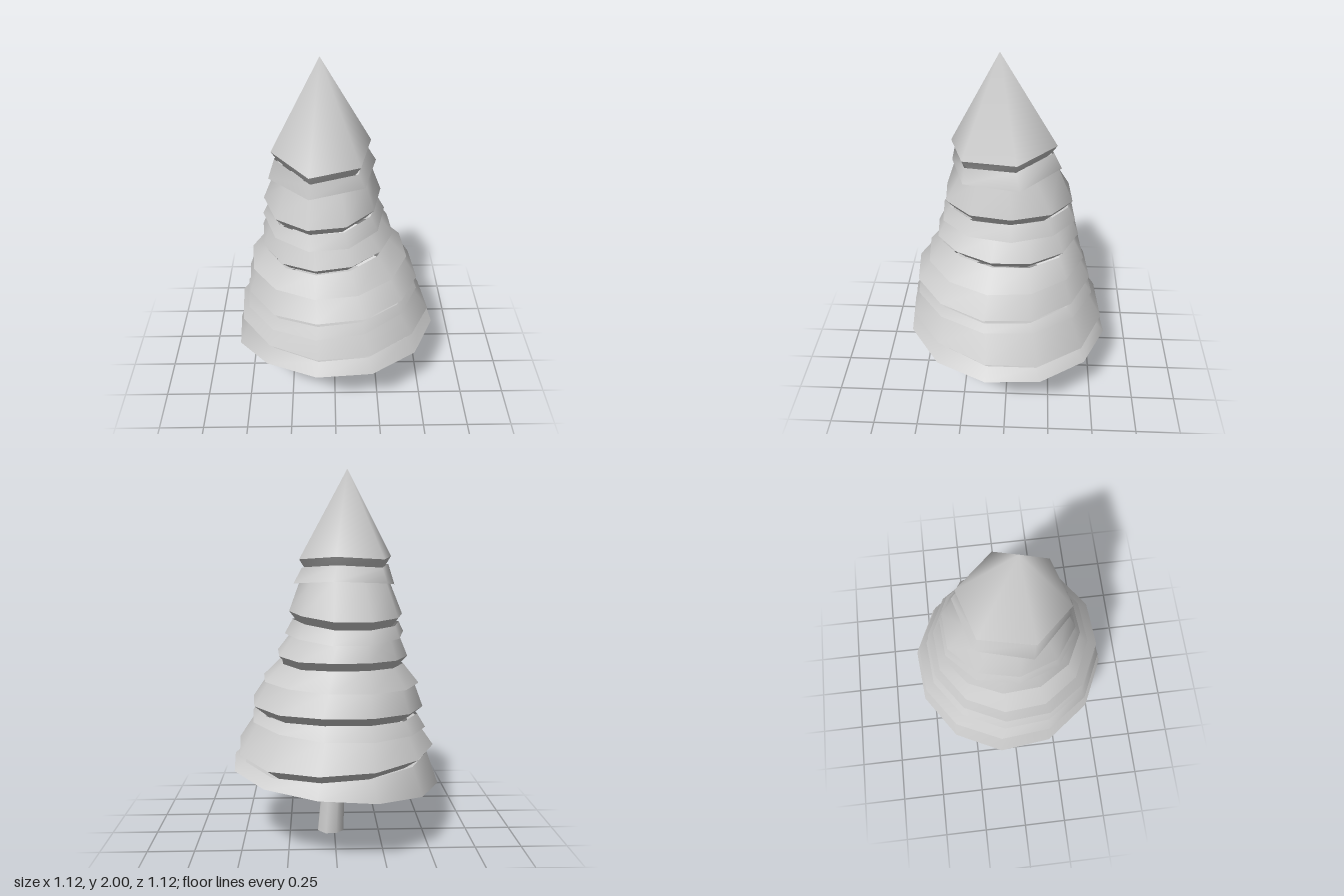
import * as THREE from 'three';
import { mergeVertices } from 'three/addons/utils/BufferGeometryUtils.js';

const material = new THREE.MeshStandardMaterial({ color: 0xcccccc, side: THREE.DoubleSide });
const APEX = new THREE.Vector3(-0.07, 2, 0.04);
const BASE = new THREE.Vector3(0, 0.42, 0.02);

// One row per layer of branches, lowest first: sides, phase (deg), x extent, z extent,
// then rim heights at eight directions, turning from +x through +z
const LAYERS = [
  [12, 10, -0.565, 0.56, -0.56, 0.56, [0.43, 0.44, 0.46, 0.435, 0.305, 0.335, 0.385, 0.41]],
  [12, 10, -0.535, 0.53, -0.535, 0.54, [0.52, 0.57, 0.56, 0.555, 0.53, 0.52, 0.505, 0.49]],
  [12, 10, -0.495, 0.455, -0.475, 0.51, [0.68, 0.7, 0.68, 0.645, 0.615, 0.64, 0.65, 0.67]],
  [12, 10, -0.48, 0.45, -0.455, 0.505, [0.76, 0.79, 0.785, 0.745, 0.73, 0.75, 0.77, 0.76]],
  [12, 10, -0.455, 0.39, -0.415, 0.44, [0.89, 0.895, 0.885, 0.875, 0.865, 0.87, 0.88, 0.89]],
  [12, 10, -0.39, 0.31, -0.38, 0.385, [1.03, 1.045, 1.025, 1.005, 1.015, 1.02, 1.03, 1.02]],
  [10, -4, -0.378, 0.267, -0.36, 0.355, [1.135, 1.13, 1.12, 1.12, 1.14, 1.12, 1.105, 1.13]],
  [10, -4, -0.37, 0.243, -0.34, 0.335, [1.255, 1.245, 1.235, 1.225, 1.235, 1.23, 1.22, 1.245]],
  [6, -16, -0.335, 0.217, -0.275, 0.3, [1.4, 1.4, 1.385, 1.385, 1.39, 1.41, 1.43, 1.41]],
  [6, -16, -0.315, 0.187, -0.25, 0.3, [1.525, 1.515, 1.5, 1.51, 1.56, 1.53, 1.55, 1.535]],
];

// Linear interpolation round a closed list of heights
function heightAt(heights, angle) {
  const u = (angle / (Math.PI * 2)) * 8 + 8, i = Math.floor(u);
  return THREE.MathUtils.lerp(heights[i % 8], heights[(i + 1) % 8], u - i);
}

// Rim polygon fitted to its extents, with a height that varies round the tree
function makeLayer([n, deg, x0, x1, z0, z1, heights], index) {
  const phase = THREE.MathUtils.degToRad(deg);
  const angles = Array.from({ length: n }, (_, i) => phase + (i / n) * Math.PI * 2);
  const cs = angles.map(Math.cos), sn = angles.map(Math.sin);
  const fit = (v, all, lo, hi) =>
    THREE.MathUtils.mapLinear(v, Math.min(...all), Math.max(...all), lo, hi);
  const rim = angles.map((a, i) => new THREE.Vector3(
    fit(cs[i], cs, x0, x1), heightAt(heights, a), fit(sn[i], sn, z0, z1)));
  const cx = (x0 + x1) / 2, cz = (z0 + z1) / 2;
  const inset = (k, drop) => rim.map((p) =>
    new THREE.Vector3(cx + (p.x - cx) * k, p.y - drop, cz + (p.z - cz) * k));
  // Every second layer has a visible sloping underside, the others a flat lip
  const drop = index % 2 ? 0.042 : -0.004;
  return { n, phase, angles, rim, fold: inset(0.94, drop), under: inset(0.85, drop * 1.4) };
}

// Point of a layer's fold at a given angle
function sampleFold(layer, angle) {
  const u = ((angle - layer.phase) / (Math.PI * 2)) * layer.n + layer.n * 2;
  const i = Math.floor(u + 1e-6);
  return layer.fold[i % layer.n].clone().lerp(layer.fold[(i + 1) % layer.n], u - i);
}

// Smooth band between two rings with equal point counts
function strip(name, lower, upper) {
  const n = lower.length, index = [];
  for (let i = 0; i < n; i++) {
    const j = (i + 1) % n;
    index.push(i, n + i, j, j, n + i, n + j);
  }
  let geometry = new THREE.BufferGeometry().setFromPoints([...lower, ...upper]);
  geometry.setIndex(index);
  geometry = mergeVertices(geometry);
  geometry.computeVertexNormals();
  const mesh = new THREE.Mesh(geometry, material);
  mesh.name = name;
  return mesh;
}

export function createModel() {
  const tree = new THREE.Group();
  tree.name = 'pineTree';

  // Slightly leaning, open trunk
  const bottom = [], top = [];
  for (let i = 0; i < 8; i++) {
    const a = ((i + 0.5) / 8) * Math.PI * 2;
    bottom.push(new THREE.Vector3(0.02 + 0.078 * Math.cos(a), 0, 0.025 + 0.079 * Math.sin(a)));
    top.push(new THREE.Vector3(-0.005 + 0.06 * Math.cos(a), 0.46, 0.04 + 0.063 * Math.sin(a)));
  }
  tree.add(strip('trunk', bottom, top));

  // Overlapping branch layers, the last one closing to the tip
  const layers = LAYERS.map(makeLayer);
  layers.forEach((layer, i) => {
    const group = new THREE.Group();
    group.name = `branchLayer${i + 1}`;
    const next = layers[i + 1];
    const crown = layer.angles.map((a) => (next ? sampleFold(next, a) : APEX));
    group.add(strip('skirt', layer.rim, crown));
    const inner = i ? layer.under : layer.rim.map(() => BASE);
    group.add(strip('underside', inner, layer.rim));
    tree.add(group);
  });
  return tree;
}
